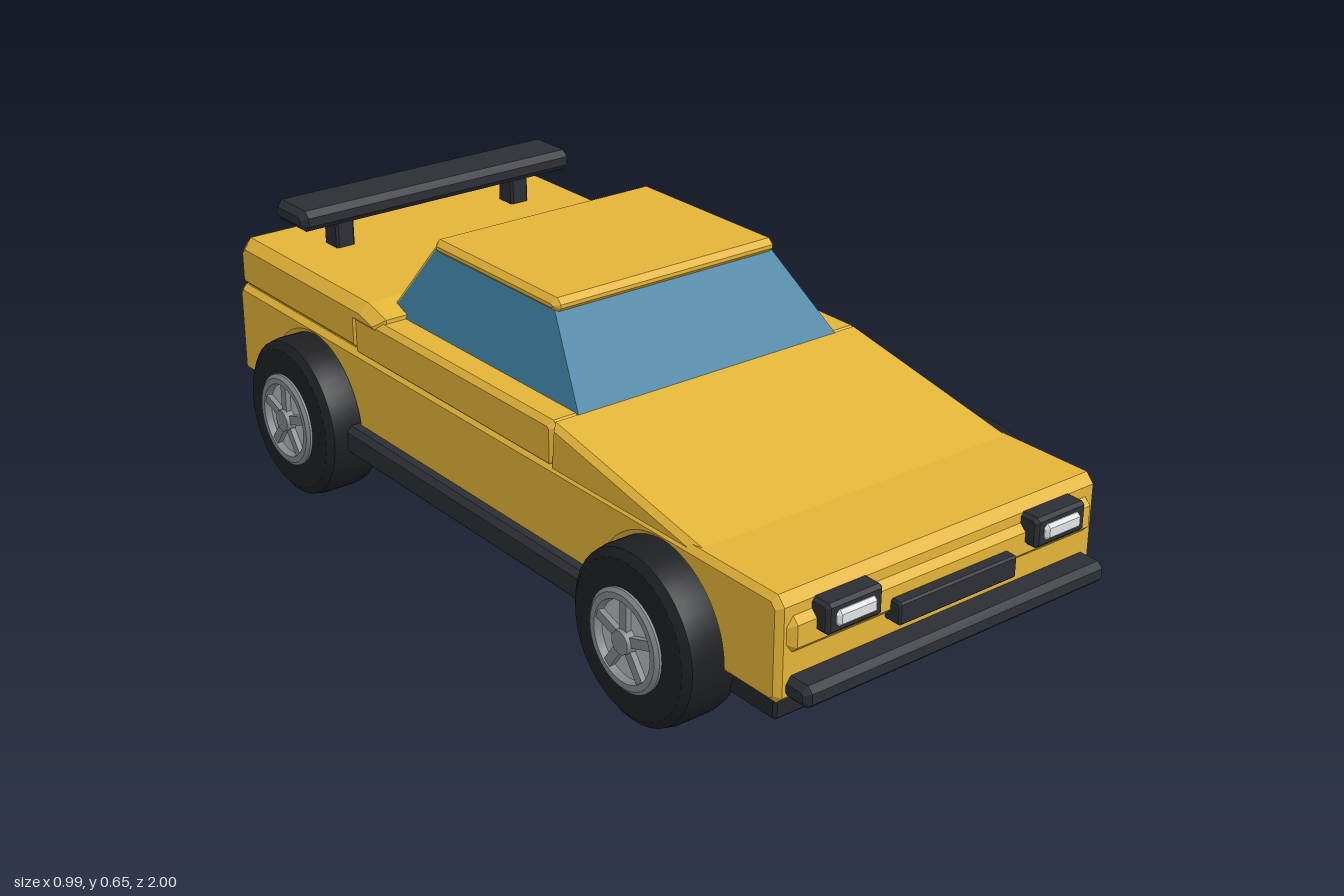
import * as THREE from 'three';
import { toCreasedNormals } from 'three/addons/utils/BufferGeometryUtils.js';

const mat = (color) => new THREE.MeshStandardMaterial({ color });
const PAINT = mat(0xe3b437), GLASS = mat(0x3f80a0), TRIM = mat(0x2b2f34), UNDER = mat(0x24272b),
  TYRE = mat(0x1d2022), RIM = mat(0x85888c), ALLOY = mat(0xb4b7ba), LENS = mat(0xe0e2e4), RED = mat(0xd02018);

export function createModel() {
  const car = new THREE.Group();
  car.name = 'car';

  const add = (name, geometry, material, parent = car) => {
    const mesh = new THREE.Mesh(geometry, material);
    mesh.name = name;
    parent.add(mesh);
    return mesh;
  };

  // Side profile in (z, y), extruded across x to full width w with chamfered flanks
  const slab = (shape, w, b) => {
    const g = new THREE.ExtrudeGeometry(shape, {
      depth: w - 2 * b, bevelEnabled: true, bevelThickness: b, bevelSize: b,
      bevelOffset: -b, bevelSegments: 1, curveSegments: 20,
    });
    return g.translate(0, 0, b - w / 2).rotateY(-Math.PI / 2);
  };
  const polygon = (pts) => new THREE.Shape(pts.map(([z, y]) => new THREE.Vector2(z, y)));

  // Box with all edges chamfered, given by its limits
  const block = (x0, x1, y0, y1, z0, z1, b) => slab(polygon([
    [z0 + b, y0], [z1 - b, y0], [z1, y0 + b], [z1, y1 - b],
    [z1 - b, y1], [z0 + b, y1], [z0, y1 - b], [z0, y0 + b],
  ]), x1 - x0, b).translate((x0 + x1) / 2, 0, 0);

  // Tapered box: each end is [y, half width, rear z, front z]
  const taper = (bottom, top) => {
    const g = new THREE.BoxGeometry(2, 1, 1).toNonIndexed();
    const p = g.attributes.position;
    for (let i = 0; i < p.count; i++) {
      const [y, hw, zr, zf] = p.getY(i) > 0 ? top : bottom;
      p.setXYZ(i, p.getX(i) * hw, y, p.getZ(i) > 0 ? zf : zr);
    }
    g.computeVertexNormals();
    return g;
  };

  // Lower body with wheel arches
  const axles = [-0.615, 0.61], hubY = 0.18, archR = 0.178, floorY = 0.168;
  const lower = new THREE.Shape();
  const dy = floorY - hubY, dz = Math.sqrt(archR ** 2 - dy ** 2), a = Math.atan2(dy, dz);
  lower.moveTo(-0.945, floorY);
  for (const z of axles) {
    lower.lineTo(z - dz, floorY);
    lower.absarc(z, hubY, archR, Math.PI - a, a, true);
  }
  [[0.928, floorY], [0.943, 0.183], [0.943, 0.365], [0.925, 0.385], [-0.93, 0.385], [-0.945, 0.37]]
    .forEach(([z, y]) => lower.lineTo(z, y));
  add('lowerBody', slab(lower, 0.81, 0.012), PAINT);
  add('bodyCore', new THREE.BoxGeometry(0.68, 0.2, 1.8).translate(0, 0.27, 0), PAINT);
  add('nosePanel', block(-0.388, 0.388, 0.27, 0.345, 0.9, 0.957, 0.015), PAINT);

  // Upper body
  add('hood', slab(polygon([[0.26, 0.36], [0.72, 0.36], [0.72, 0.384], [0.27, 0.472]]), 0.8, 0.012), PAINT);
  add('waist', block(-0.4, 0.4, 0.372, 0.473, -0.45, 0.275, 0.012), PAINT);
  add('rearDeck', slab(polygon([
    [-0.42, 0.378], [-0.92, 0.378], [-0.938, 0.395], [-0.938, 0.475],
    [-0.913, 0.5], [-0.41, 0.5], [-0.34, 0.482], [-0.34, 0.44], [-0.42, 0.44],
  ]), 0.81, 0.022), PAINT);

  // Cabin
  add('cabinGlass', taper([0.465, 0.337, -0.4, 0.278], [0.63, 0.28, -0.3, 0.122]), GLASS);
  add('cabinBack', taper([0.465, 0.337, -0.404, -0.399], [0.63, 0.28, -0.304, -0.299]), PAINT);
  add('roof', block(-0.286, 0.286, 0.622, 0.654, -0.302, 0.136, 0.012), PAINT);

  // Chassis, sills and bumpers
  add('chassis', block(-0.37, 0.37, 0.105, 0.19, -0.9, 0.9, 0.006), UNDER);
  for (const s of [-1, 1]) {
    add(s > 0 ? 'leftSill' : 'rightSill',
      block(s * 0.4 - 0.036, s * 0.4 + 0.036, 0.145, 0.213, -0.455, 0.45, 0.012), TRIM);
  }
  add('frontBumper', block(-0.385, 0.385, 0.178, 0.224, 0.93, 1, 0.012), TRIM);
  add('rearBumper', block(-0.368, 0.368, 0.178, 0.232, -1, -0.93, 0.012), TRIM);
  add('grille', block(-0.15, 0.15, 0.26, 0.307, 0.94, 0.982, 0.004), TRIM);

  // Lamps and spoiler posts, mirrored
  for (const s of [-1, 1]) {
    const side = s > 0 ? 'left' : 'right';
    const pair = (name, x, hw, y0, y1, z0, z1, b, m) =>
      add(side + name, block(s * x - hw, s * x + hw, y0, y1, z0, z1, b), m);
    pair('HeadlampHousing', 0.262, 0.067, 0.303, 0.366, 0.935, 0.985, 0.007, TRIM);
    pair('HeadlampLens', 0.262, 0.048, 0.318, 0.351, 0.97, 0.994, 0.007, LENS);
    pair('TailLampHousing', 0.275, 0.067, 0.354, 0.41, -0.974, -0.925, 0.007, TRIM);
    pair('TailLampLens', 0.275, 0.05, 0.37, 0.395, -0.982, -0.96, 0.005, RED);
    pair('SpoilerPost', 0.24, 0.024, 0.488, 0.58, -0.785, -0.73, 0.005, TRIM);
  }
  add('spoilerBlade', block(-0.367, 0.367, 0.566, 0.614, -0.825, -0.695, 0.014), TRIM);

  // Wheels, built facing +x around their own hub
  const turn = (pts) => toCreasedNormals(
    new THREE.LatheGeometry(pts.map(([r, x]) => new THREE.Vector2(r, x)), 40), 0.5).rotateZ(-Math.PI / 2);
  const tyre = turn([[0, -0.067], [0.16, -0.067], [0.176, -0.055], [0.18, -0.035], [0.18, 0.035],
    [0.176, 0.055], [0.16, 0.067], [0.1, 0.069], [0.09, 0.055], [0, 0.055]]);
  const rim = turn([[0.105, 0.06], [0.105, 0.074], [0.097, 0.08], [0.084, 0.08], [0.078, 0.06]]);
  const dish = new THREE.CylinderGeometry(0.085, 0.085, 0.01, 32).rotateZ(-Math.PI / 2).translate(0.06, 0, 0);
  const innerHub = new THREE.CylinderGeometry(0.1, 0.1, 0.012, 32).rotateZ(-Math.PI / 2).translate(-0.069, 0, 0);
  const cap = new THREE.CylinderGeometry(0.024, 0.028, 0.026, 20).rotateZ(-Math.PI / 2).translate(0.072, 0, 0);
  const spoke = new THREE.BoxGeometry(0.018, 0.075, 0.02).translate(0.068, 0.05, 0);

  axles.forEach((z, i) => {
    for (const s of [-1, 1]) {
      const wheel = new THREE.Group();
      wheel.name = (i ? 'front' : 'rear') + (s > 0 ? 'Left' : 'Right') + 'Wheel';
      add('tyre', tyre, TYRE, wheel);
      add('rim', rim, RIM, wheel);
      add('dish', dish, ALLOY, wheel);
      add('innerHub', innerHub, TRIM, wheel);
      add('hubCap', cap, RIM, wheel);
      for (let k = 0; k < 5; k++) add('spoke', spoke, RIM, wheel).rotation.x = k * Math.PI * 0.4;
      wheel.position.set(s * 0.412, hubY, z);
      if (s < 0) wheel.rotation.y = Math.PI;
      car.add(wheel);
    }
  });

  return car;
}
